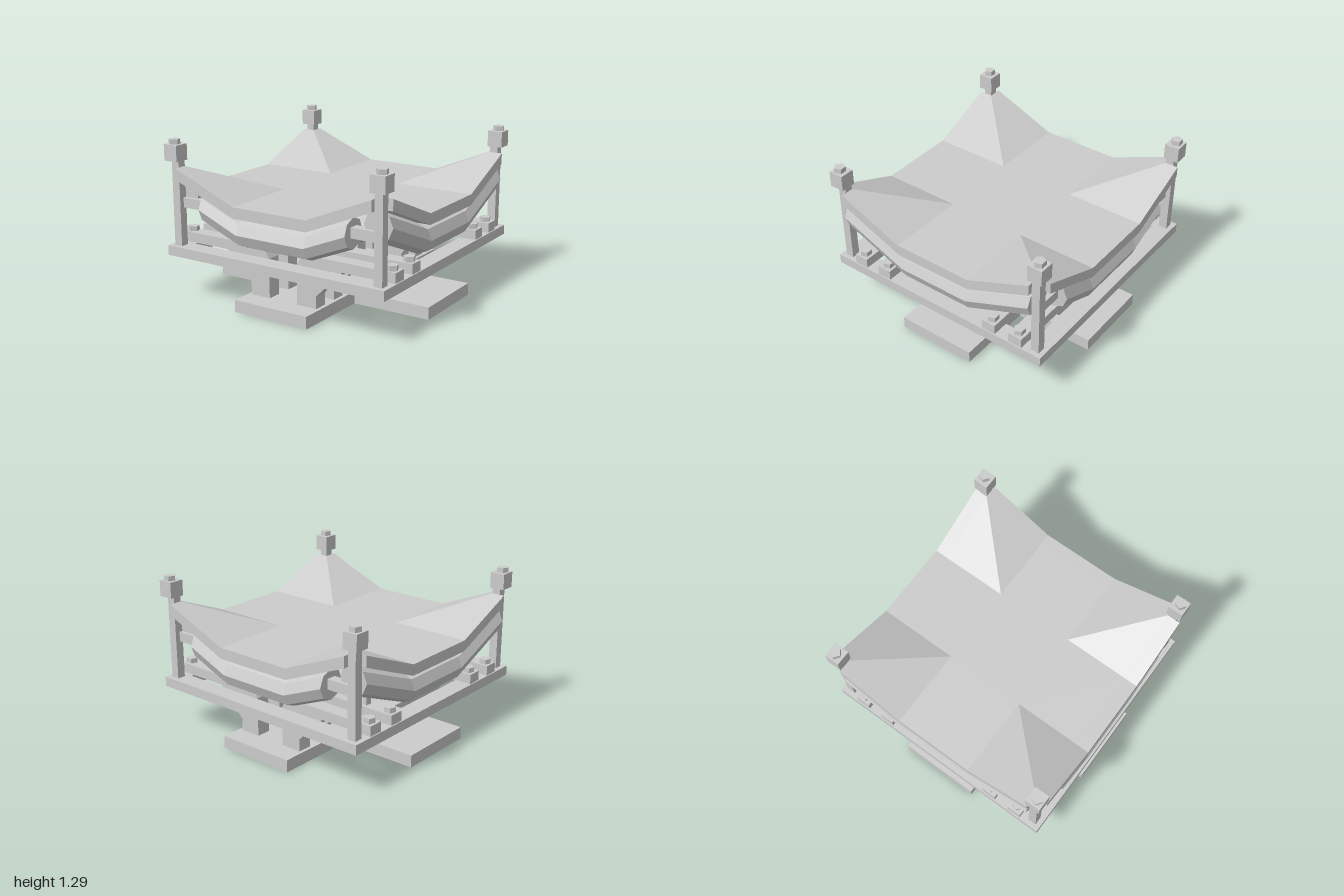
import * as THREE from 'three';

const material = new THREE.MeshStandardMaterial({ color: 0xcccccc, flatShading: true });

function add(parent, name, geometry, x = 0, y = 0, z = 0) {
  const mesh = new THREE.Mesh(geometry, material);
  mesh.name = name;
  mesh.position.set(x, y, z);
  parent.add(mesh);
  return mesh;
}

// Box given by its bottom height
function box(parent, name, w, h, d, x, y, z) {
  return add(parent, name, new THREE.BoxGeometry(w, h, d), x, y + h / 2, z);
}

// Flat plate from an outline in x and z, resting at height y
function plate(shape, height, y) {
  const g = new THREE.ExtrudeGeometry(shape, { depth: height, bevelEnabled: false });
  return g.rotateX(-Math.PI / 2).translate(0, y, 0);
}

function polygon(points) {
  return new THREE.Shape(points.map(([x, y]) => new THREE.Vector2(x, y)));
}

// Sagging slab: a grid with raised, notched corners and vertical rims
function slabGeometry() {
  const c = [-1, -0.89, -0.335, 0.335, 0.89, 1];
  const thick = 0.09, pos = [];
  const top = (i, j) => {
    const m = Math.min(Math.abs(c[i]), Math.abs(c[j]));
    const t = THREE.MathUtils.clamp((m - 0.335) / 0.555, 0, 1);
    return [c[i], 0.84 + 0.23 * t, c[j]];
  };
  const low = ([x, y, z]) => [x, y - thick, z];
  const tri = (a, b, d) => pos.push(...a, ...b, ...d);
  const filled = (i, j) => i >= 0 && j >= 0 && i < 5 && j < 5 && !(i % 4 === 0 && j % 4 === 0);
  for (let i = 0; i < 5; i++) for (let j = 0; j < 5; j++) {
    if (!filled(i, j)) continue;
    // corners in counter-clockwise order seen from above
    let q = [top(i, j), top(i, j + 1), top(i + 1, j + 1), top(i + 1, j)];
    const open = [[-1, 0], [0, 1], [1, 0], [0, -1]].map(([a, b]) => !filled(i + a, j + b));
    q.forEach((a, k) => {
      const b = q[(k + 1) % 4];
      if (open[k]) {
        tri(a, low(a), low(b));
        tri(a, low(b), b);
      }
    });
    // the crease runs from the centre to the corner
    if ((i - 2) * (j - 2) < 0) q = [q[1], q[2], q[3], q[0]];
    tri(q[0], q[1], q[2]);
    tri(q[0], q[2], q[3]);
    tri(low(q[0]), low(q[2]), low(q[1]));
    tri(low(q[0]), low(q[3]), low(q[2]));
  }
  const g = new THREE.BufferGeometry();
  g.setAttribute('position', new THREE.Float32BufferAttribute(pos, 3));
  g.computeVertexNormals();
  return g;
}

// Eight-sided rail along x, level in the middle and bent up at both ends
function railGeometry(halfLength) {
  const knee = 0.31;
  const g = new THREE.CylinderGeometry(0.12, 0.12, 6, 8, 3).rotateZ(Math.PI / 2);
  const p = g.attributes.position;
  for (let i = 0; i < p.count; i++) {
    const x = p.getX(i), outer = Math.abs(x) > 2;
    p.setX(i, Math.sign(x) * (outer ? halfLength : knee));
    p.setY(i, p.getY(i) + 0.62 + (outer ? 0.41 * (halfLength - knee) : 0));
  }
  g.computeVertexNormals();
  return g;
}

export function createModel() {
  const model = new THREE.Group();

  // Cross-shaped foot
  const a = 0.335;
  const cross = polygon([[-a, -1], [a, -1], [a, -a], [1, -a], [1, a], [a, a],
    [a, 1], [-a, 1], [-a, a], [-1, a], [-1, -a], [-a, -a]]);
  add(model, 'crossBase', plate(cross, 0.1, 0));

  // Square ring frame
  const ring = polygon([[-1, -1], [1, -1], [1, 1], [-1, 1]]);
  const inner = 0.85;
  ring.holes.push(polygon([[-inner, -inner], [-inner, inner], [inner, inner], [inner, -inner]]));
  add(model, 'squareFrame', plate(ring, 0.08, 0.35));

  add(model, 'saggingSlab', slabGeometry());

  // Bent struts from the foot over the frame, with their bolts
  const strutShape = polygon([[0.13, 0.1], [0.305, 0.1], [0.305, 0.2], [0.535, 0.43],
    [0.99, 0.43], [0.99, 0.51], [0.185, 0.51], [0.13, 0.42]]);
  const strutGeometry = new THREE.ExtrudeGeometry(strutShape, { depth: 0.12, bevelEnabled: false })
    .translate(0, 0, -0.06);
  const boltGeometry = new THREE.CylinderGeometry(0.047, 0.047, 0.04, 5);
  for (const sx of [-1, 1]) for (const z of [-0.765, -0.52, 0.52, 0.765]) {
    const strut = add(model, 'strut', strutGeometry, 0, 0, z);
    if (sx < 0) strut.rotation.y = Math.PI;
    add(model, 'strutBolt', boltGeometry, sx * 0.93, 0.53, z);
  }

  // Outer rails on four sides and two inner rails
  for (const s of [-1, 1]) {
    add(model, 'endRail', railGeometry(0.67), 0, 0, s * 0.88);
    add(model, 'innerRail', railGeometry(0.66), 0, 0, s * 0.51);
    add(model, 'sideRail', railGeometry(0.885), s * 0.88).rotation.y = Math.PI / 2;
  }

  // Corner posts with caps and knobs, rail pegs and thin props
  for (const sx of [-1, 1]) for (const sz of [-1, 1]) {
    box(model, 'cornerPost', 0.07, 0.69, 0.07, sx * 0.925, 0.43, sz * 0.925);
    box(model, 'postCap', 0.125, 0.13, 0.125, sx * 0.9375, 1.12, sz * 0.9375);
    add(model, 'postKnob', boltGeometry, sx * 0.942, 1.27, sz * 0.942);
    box(model, 'railPeg', 0.27, 0.08, 0.08, sx * 0.775, 0.74, sz * 0.88);
    box(model, 'innerPeg', 0.1, 0.07, 0.05, sx * 0.69, 0.74, sz * 0.525);
    box(model, 'thinProp', 0.036, 0.25, 0.05, sx * 0.717, 0.51, sz * 0.525);
  }
  return model;
}
